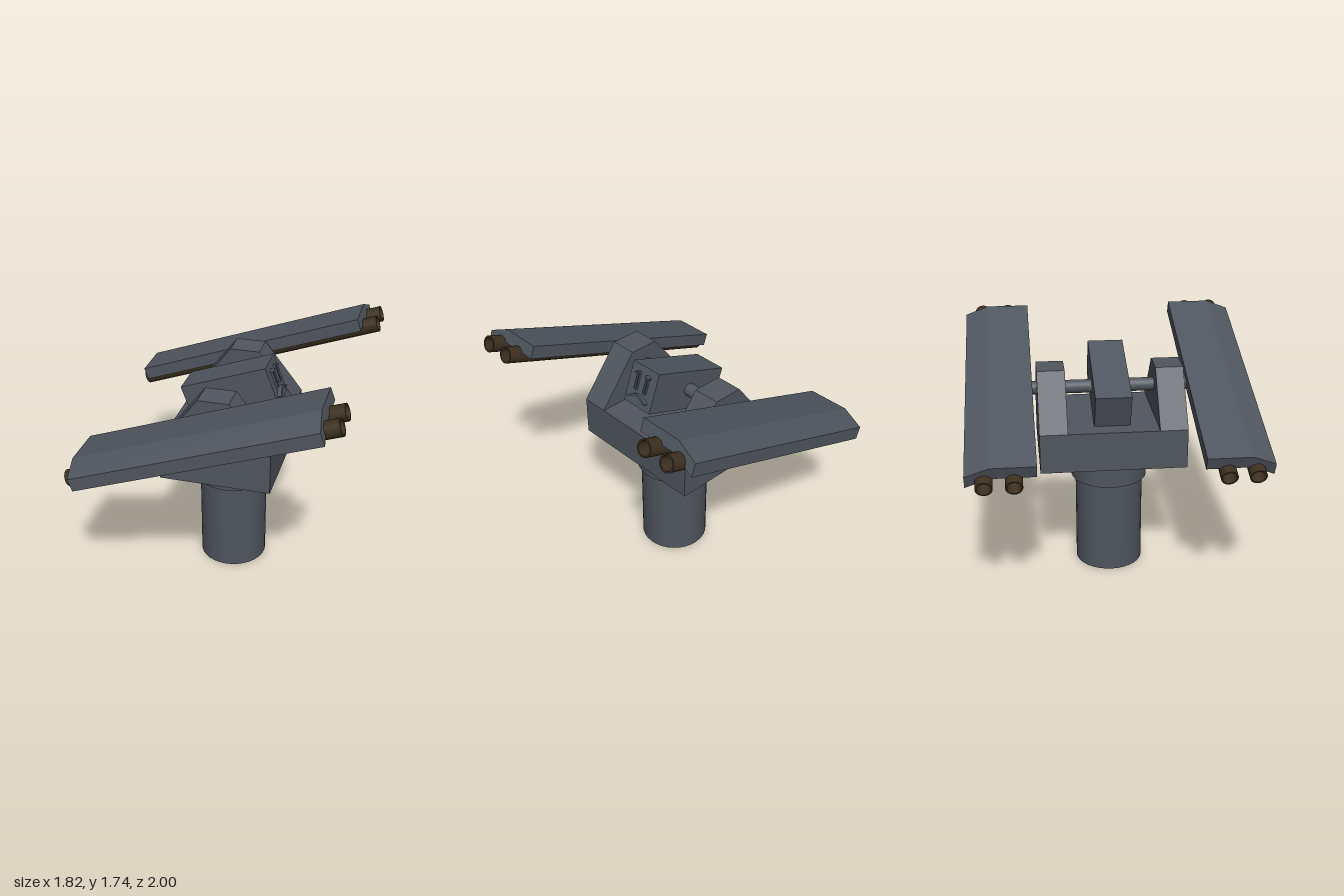
import * as THREE from 'three';
import { toCreasedNormals } from 'three/addons/utils/BufferGeometryUtils.js';

const TILT = THREE.MathUtils.degToRad(20);

export function createModel() {
  const model = new THREE.Group();
  model.name = 'launcherTurret';
  const steel = new THREE.MeshStandardMaterial({ name: 'blue grey steel', color: 0x50565f });
  const bronze = new THREE.MeshStandardMaterial({ name: 'dark bronze', color: 0x3d3020 });

  function add(parent, name, geometry, material, x = 0, y = 0, z = 0) {
    const mesh = new THREE.Mesh(geometry, material);
    mesh.name = name;
    mesh.position.set(x, y, z);
    parent.add(mesh);
    return mesh;
  }

  function tiltedGroup(name, y) {
    const group = new THREE.Group();
    group.name = name;
    group.position.y = y;
    group.rotation.z = TILT;
    model.add(group);
    return group;
  }

  function extrude(points, depth) {
    const shape = new THREE.Shape(points.map(([x, y]) => new THREE.Vector2(x, y)));
    return new THREE.ExtrudeGeometry(shape, { depth, bevelEnabled: false, curveSegments: 10 });
  }

  // Pedestal and collar
  add(model, 'pedestal', new THREE.CylinderGeometry(0.243, 0.243, 0.68, 32), steel, -0.003, 0.34, 0);
  add(model, 'collar', new THREE.CylinderGeometry(0.272, 0.272, 0.19, 32), steel, -0.003, 0.775, 0);

  // Cradle: base block with a tapered cheek on each side
  add(model, 'cradleBase', new THREE.BoxGeometry(0.776, 0.28, 1.016), steel, -0.003, 1.01, 0);
  const cheek = extrude([[-0.391, 1.15], [0.385, 1.15], [0.102, 1.51], [-0.112, 1.51]], 0.194);
  add(model, 'leftCheek', cheek, steel, 0, 0, 0.314);
  add(model, 'rightCheek', cheek, steel, 0, 0, -0.508);

  // Axle running through the cheeks into both launchers
  const axle = new THREE.CylinderGeometry(0.047, 0.047, 1.36, 24).rotateX(Math.PI / 2);
  add(model, 'axle', axle, steel, -0.023, 1.361, 0);

  // Sensor box with raised details on its end face
  const sensor = tiltedGroup('sensor', 1.359);
  add(sensor, 'sensorBox', new THREE.BoxGeometry(0.64, 0.29, 0.25), steel);
  for (const s of [-1, 1]) {
    for (const e of [-1, 1]) {
      add(sensor, 'slotSide', new THREE.BoxGeometry(0.02, 0.12, 0.007), steel, 0.325, 0.03, s * 0.043 + e * 0.01);
    }
    add(sensor, 'slotFoot', new THREE.BoxGeometry(0.02, 0.008, 0.027), steel, 0.325, -0.028, s * 0.043);
    const hood = add(sensor, 'slotHood', new THREE.BoxGeometry(0.035, 0.012, 0.036), steel, 0.332, 0.09, s * 0.05);
    hood.rotation.x = s * 0.3;
  }
  // Curved guard below the slots
  const arc = new THREE.Shape();
  arc.moveTo(-0.088, -0.09);
  arc.quadraticCurveTo(0, -0.015, 0.088, -0.09);
  arc.lineTo(0.078, -0.097);
  arc.quadraticCurveTo(0, -0.038, -0.078, -0.097);
  const guard = new THREE.ExtrudeGeometry(arc, { depth: 0.04, bevelEnabled: false, curveSegments: 10 });
  add(sensor, 'curvedGuard', guard.rotateY(-Math.PI / 2), steel, 0.35, 0, 0);

  // Hollow launch tube along x
  const R = 0.057, r = 0.047, H = 0.95;
  const wall = [[R, -H], [R, H], [r, H], [r, -H], [R, -H]].map(([x, y]) => new THREE.Vector2(x, y));
  const tube = toCreasedNormals(new THREE.LatheGeometry(wall, 24), 0.6).rotateZ(-Math.PI / 2);

  // Launchers: a bent cover plate over two tubes
  for (const s of [-1, 1]) {
    const launcher = tiltedGroup(s > 0 ? 'leftLauncher' : 'rightLauncher', 1.34);
    const section = [[0.54, 0.117], [0.54, 0.027], [0.84, 0.027], [1, -0.043], [1, 0.047], [0.84, 0.117]];
    const cover = extrude(section.map(([z, y]) => [s * z, y]), 1.737).rotateY(-Math.PI / 2);
    add(launcher, 'coverPlate', cover, steel, 0.851, 0, 0);
    for (const z of [0.687, 0.877]) add(launcher, 'launchTube', tube, bronze, 0, 0, s * z);
  }
  return model;
}
